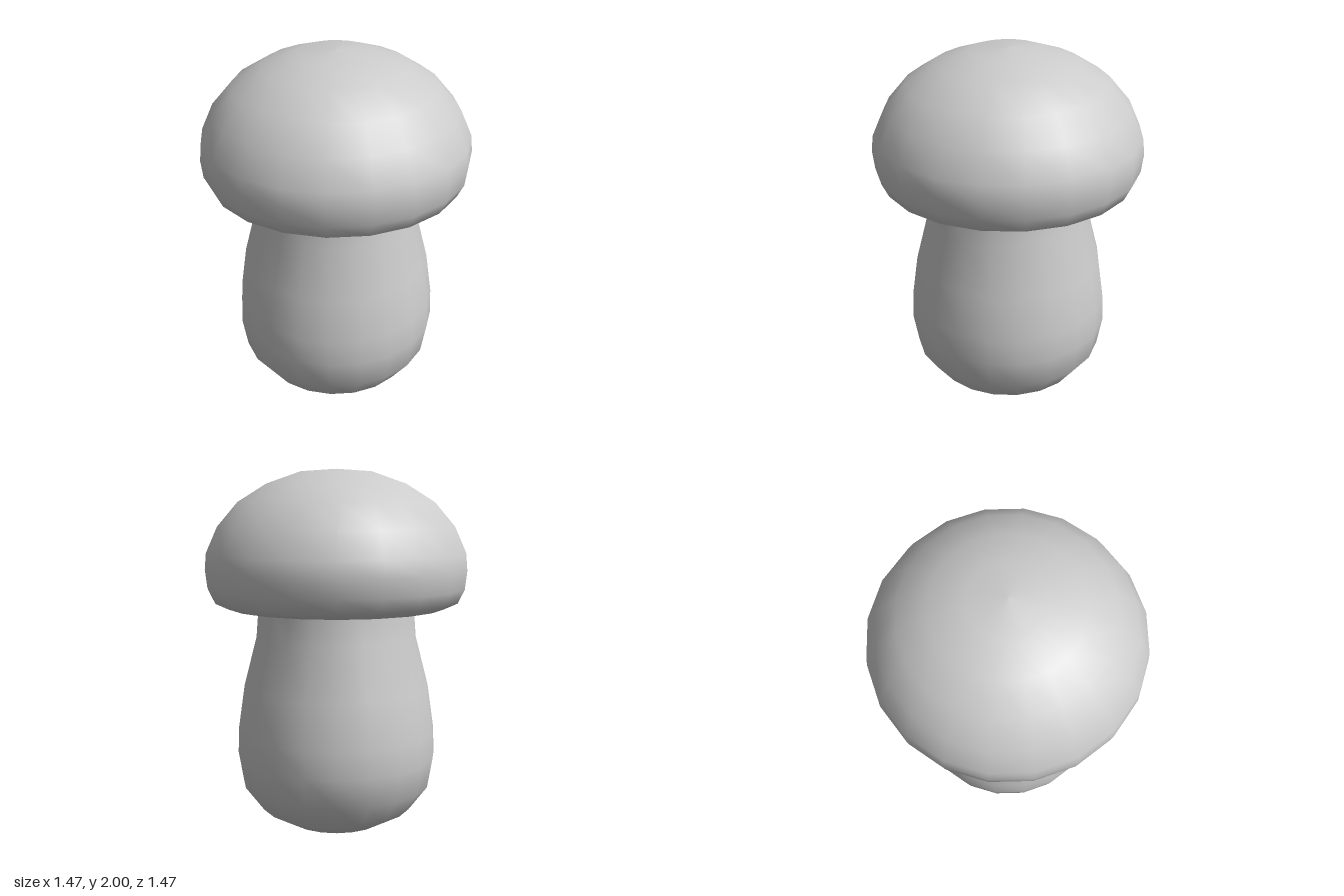
import * as THREE from 'three';

const SIDES = 20;

// Turns a bottom-to-top profile of [radius, height] pairs into a smooth round part.
function turnedPart(name, profile, material) {
  const points = profile.map(([r, y]) => new THREE.Vector2(r, y));
  const mesh = new THREE.Mesh(new THREE.LatheGeometry(points, SIDES), material);
  mesh.name = name;
  return mesh;
}

export function createModel() {
  const group = new THREE.Group();
  group.name = 'mushroom';
  const material = new THREE.MeshStandardMaterial({ color: 0xcccccc });

  // Bulbous stem, narrowing to a neck under the cap
  group.add(turnedPart('stem', [
    [0, 0], [0.28, 0.01], [0.43, 0.095], [0.535, 0.235], [0.563, 0.4],
    [0.557, 0.55], [0.522, 0.79], [0.45, 1.07], [0.434, 1.27],
  ], material));

  // Domed cap with a rounded rim and a nearly flat underside
  group.add(turnedPart('cap', [
    [0.4, 1.26], [0.61, 1.245], [0.685, 1.28], [0.722, 1.355], [0.733, 1.45],
    [0.725, 1.54], [0.66, 1.685], [0.545, 1.82], [0.385, 1.92], [0.2, 1.985], [0, 2],
  ], material));

  return group;
}
